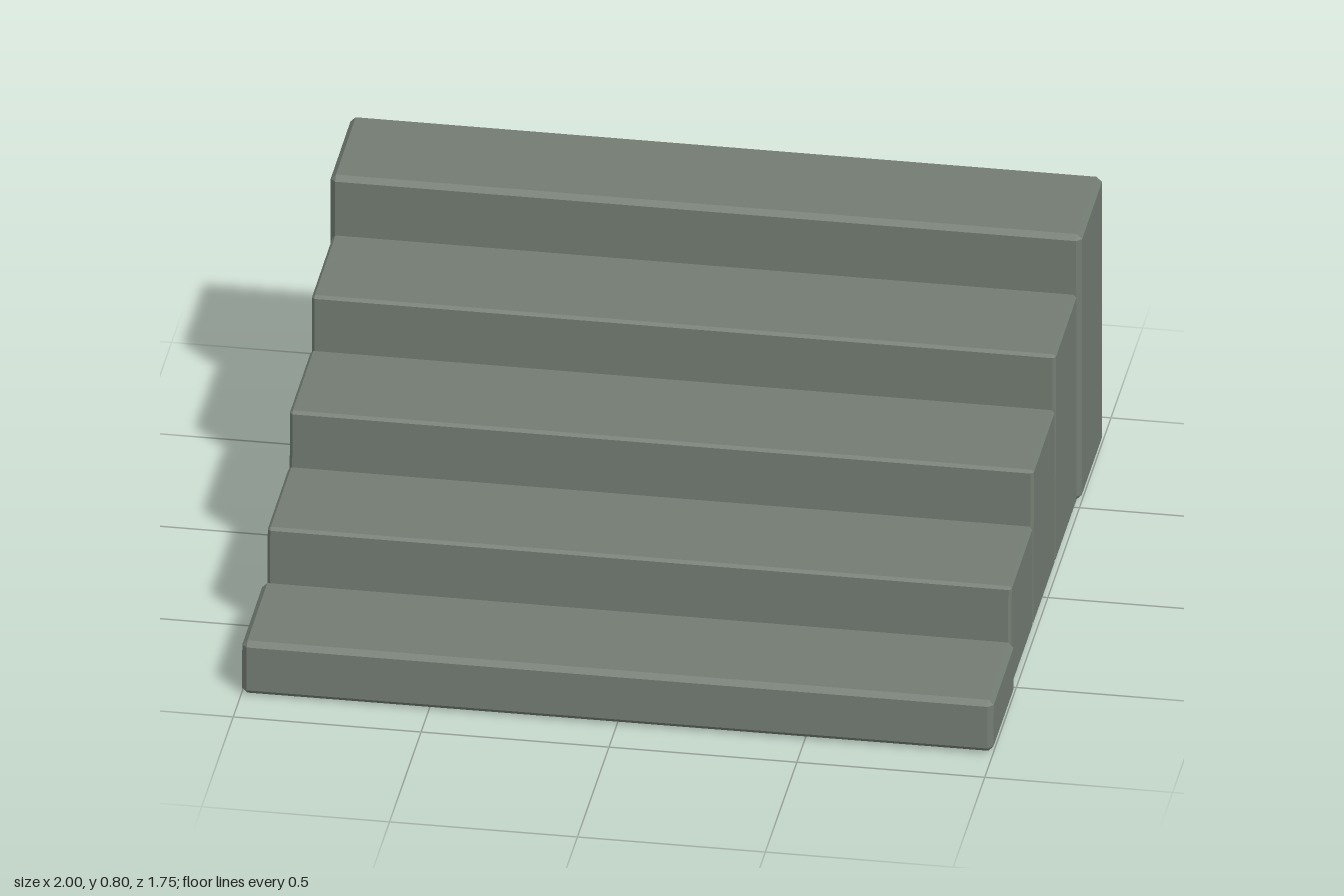
import * as THREE from 'three';
import { ConvexGeometry } from 'three/addons/geometries/ConvexGeometry.js';

// Stone block with chamfered corners, slightly worn out of square
function stoneBlock(halfWidth, bottom, top, back, front, bevel) {
  const points = [];
  for (const sx of [-1, 1]) for (const sy of [-1, 1]) for (const sz of [-1, 1]) {
    const x = sx * halfWidth;
    const y = sy > 0 ? top - (sz > 0 ? 0.003 : 0) : bottom + (sx > 0 ? 0.004 : 0);
    const z = sz > 0 ? front - (sy > 0 ? 0.006 : 0) : back + (sy > 0 ? 0.002 : 0);
    points.push(
      new THREE.Vector3(x, y - sy * bevel, z - sz * bevel),
      new THREE.Vector3(x - sx * bevel, y, z - sz * bevel),
      new THREE.Vector3(x - sx * bevel, y - sy * bevel, z)
    );
  }
  return new ConvexGeometry(points);
}

export function createModel() {
  const group = new THREE.Group();
  group.name = 'stoneStairs';
  const stone = new THREE.MeshStandardMaterial({ color: 0x727b72 });
  stone.name = 'greyGreenStone';
  stone.flatShading = true;

  // Five full-height blocks rising towards the back
  const tops = [0.16, 0.315, 0.475, 0.632, 0.8];
  const pitch = 0.35;
  tops.forEach((top, i) => {
    const z = (2 - i) * pitch;
    const outer = i === 0 || i === 4;
    const step = new THREE.Mesh(
      stoneBlock(outer ? 1 : 0.99, outer ? 0.004 : 0.008, top, z - 0.173, z + 0.176, outer ? 0.014 : 0.008),
      stone
    );
    step.name = `step${i + 1}`;
    group.add(step);
  });
  return group;
}
